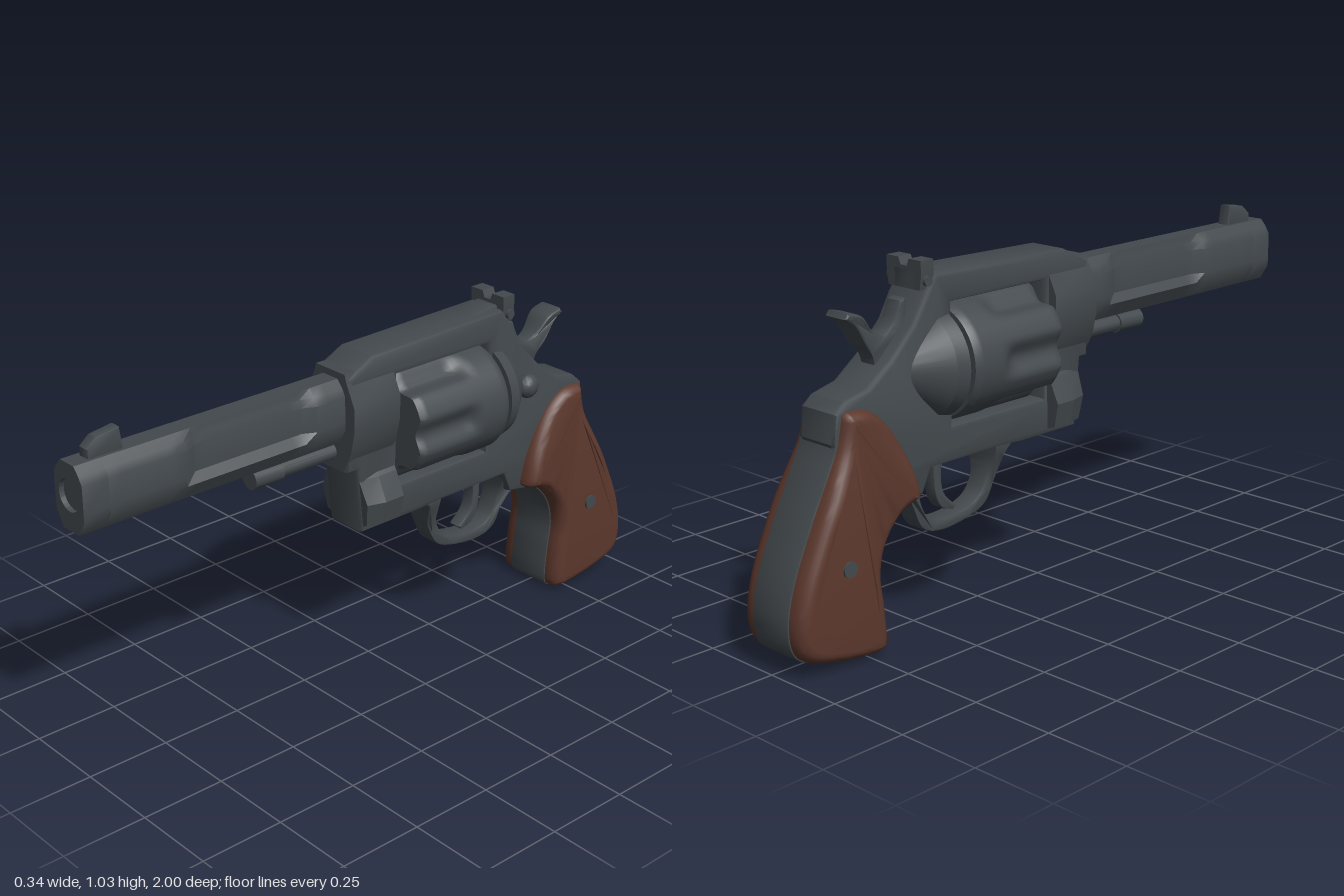
import * as THREE from 'three';
import { toCreasedNormals } from 'three/addons/utils/BufferGeometryUtils.js';

const metal = new THREE.MeshStandardMaterial({ color: 0x43494d });
metal.name = 'gunmetal';
const wood = new THREE.MeshStandardMaterial({ color: 0x5c382d });
wood.name = 'brown wood';

const V = (pts) => pts.map(([a, b]) => new THREE.Vector2(a, b));
const smooth = (pts, n = 48) => new THREE.SplineCurve(V(pts)).getPoints(n);

// Side profile in (z, y), given thickness in x, centred on x = 0
function profile(points, halfWidth, bevel = 0.01, { hole, segments = 2, offset = -bevel, thick = bevel } = {}) {
  const shape = new THREE.Shape(points);
  if (hole) shape.holes.push(new THREE.Path(hole));
  const depth = 2 * (halfWidth - thick);
  const g = new THREE.ExtrudeGeometry(shape, {
    depth, bevelEnabled: bevel > 0, bevelSize: bevel, bevelThickness: thick,
    bevelOffset: offset, bevelSegments: segments,
  });
  g.translate(0, 0, -depth / 2).rotateY(-Math.PI / 2);
  return g;
}

// Mirrored cross-section in (x, y), running along z
function section(half, z0, z1, { hole, steps = 1 } = {}) {
  const left = half.map(([x, y]) => [-x, y]).reverse();
  const shape = new THREE.Shape(V([...half, ...left]));
  if (hole) shape.holes.push(new THREE.Path().absarc(0, hole[0], hole[1], 0, Math.PI * 2, true));
  return new THREE.ExtrudeGeometry(shape, { depth: z1 - z0, steps, bevelEnabled: false, curveSegments: 24 })
    .translate(0, 0, z0);
}

// Round part along z
function round(rFront, rBack, z0, z1, y, seg = 32, rows = 1) {
  return new THREE.CylinderGeometry(rFront, rBack, z1 - z0, seg, rows)
    .rotateX(Math.PI / 2).translate(0, y, (z0 + z1) / 2);
}

function reshape(g, rule) {
  const p = g.attributes.position;
  const v = new THREE.Vector3();
  for (let i = 0; i < p.count; i++) {
    v.fromBufferAttribute(p, i);
    rule(v);
    p.setXYZ(i, v.x, v.y, v.z);
  }
  return g;
}

export function createModel() {
  const model = new THREE.Group();
  model.name = 'revolver';
  const add = (name, geo, mat = metal, crease = 0.55) => {
    const mesh = new THREE.Mesh(toCreasedNormals(geo, crease), mat);
    mesh.name = name;
    model.add(mesh);
    return mesh;
  };

  // Barrel with scooped sides, and a bored muzzle
  const barrelHalf = [[0.035, 0.74], [0.062, 0.785], [0.062, 0.81], [0.062, 0.885], [0.05, 0.907], [0.03, 0.93]];
  const barrel = section(barrelHalf, 0, 0.92, { steps: 23 });
  reshape(barrel, (v) => {
    if (v.z > 0.27 && v.z < 0.66 && v.y > 0.8 && v.y < 0.91) v.x *= 0.68;
  });
  add('barrel', barrel);
  add('muzzle', section(barrelHalf, 0.92, 1, { hole: [0.84, 0.045] }));
  add('bore', round(0.047, 0.047, 0.93, 0.985, 0.84));
  add('frontSight', profile(V([[0.95, 0.92], [0.95, 0.955], [0.92, 0.98], [0.85, 0.99], [0.84, 0.92]]), 0.02, 0.006));

  // Ejector rod under the barrel
  add('ejectorRod', round(0.025, 0.025, 0.1, 0.36, 0.705, 20));
  add('ejectorTip', round(0.03, 0.03, 0.33, 0.43, 0.705, 20));

  // Frame with the cylinder window
  const frame = V([
    [0.13, 0.66], [0.13, 0.93], [0.04, 0.975], [-0.46, 0.985], [-0.5, 0.93], [-0.54, 0.86], [-0.62, 0.78],
    [-0.7, 0.72], [-0.78, 0.7], [-0.81, 0.675], [-0.82, 0.6], [-0.75, 0.45], [-0.6, 0.385], [-0.52, 0.4],
    [-0.49, 0.465], [-0.22, 0.465], [-0.14, 0.46], [0.08, 0.46], [0.1, 0.66],
  ]);
  const windowHole = V([[-0.04, 0.555], [-0.04, 0.91], [-0.41, 0.91], [-0.41, 0.555]]);
  add('frame', profile(frame, 0.072, 0.014, { hole: windowHole, offset: -0.008 }));
  add('frameFront', section(
    [[0.05, 0.655], [0.085, 0.72], [0.1, 0.79], [0.1, 0.86], [0.066, 0.93], [0.06, 0.95]], -0.03, 0.14));

  // Faceted crane lug below the barrel seat
  const lug = section([[0.04, 0.46], [0.1, 0.48], [0.113, 0.55], [0.08, 0.62], [0.05, 0.66]], -0.035, 0.1, { steps: 2 });
  reshape(lug, (v) => {
    if (v.z > 0.05) {
      v.x *= 0.85;
      v.z -= (0.66 - v.y) * 0.1;
    }
  });
  add('craneLug', lug, metal, 0.2);

  // Fluted cylinder: six scoops open to the front
  const cy = 0.733;
  const drum = round(0.168, 0.168, -0.405, -0.06, cy, 96, 24);
  reshape(drum, (v) => {
    const r = Math.hypot(v.x, v.y - cy);
    if (r < 0.1) return;
    const a = Math.atan2(v.y - cy, v.x);
    const across = Math.max(0, Math.cos(a * 6) + 0.25) / 1.25;
    const along = THREE.MathUtils.smoothstep(v.z, -0.31, -0.24);
    let k = 1 - 0.17 * across * along;
    if (v.z > -0.065 || v.z < -0.4) k -= 0.05;
    v.x *= k;
    v.y = cy + (v.y - cy) * k;
  });
  add('cylinder', drum, metal, 0.7);
  add('cylinderAxle', round(0.05, 0.05, -0.42, -0.02, cy - 0.02, 20));

  // Recoil shield behind the cylinder
  add('recoilShield', round(0.158, 0.15, -0.46, -0.42, 0.735, 48));
  add('shieldTaper', round(0.15, 0.07, -0.56, -0.46, 0.735, 48));

  // Cylinder latch on the left of the frame
  const latch = new THREE.SphereGeometry(0.037, 20, 14);
  latch.scale(0.8, 1, 1).translate(0.085, 0.735, -0.56);
  add('latch', latch, metal, 1);

  // Rear sight: base, notched blade and adjusting screw
  add('rearSightBase', profile(V([[-0.3, 0.975], [-0.44, 1.0], [-0.51, 1.0], [-0.51, 0.95], [-0.3, 0.95]]), 0.04, 0.005));
  add('rearSightBlade', section(
    [[0.06, 0.95], [0.066, 0.985], [0.066, 1.03], [0.02, 1.03], [0.012, 1.01]], -0.51, -0.465));
  const screw = new THREE.CylinderGeometry(0.014, 0.014, 0.15, 12);
  add('rearSightScrew', screw.rotateZ(Math.PI / 2).translate(0, 0.975, -0.49));

  // Hammer, widened at the thumb spur
  const hammer = profile([
    ...smooth([[-0.52, 0.8], [-0.525, 0.87], [-0.53, 0.93]], 6),
    ...smooth([[-0.55, 0.925], [-0.575, 0.87], [-0.61, 0.845], [-0.65, 0.865], [-0.69, 0.91], [-0.74, 0.925]], 20),
    ...smooth([[-0.75, 0.91], [-0.715, 0.885], [-0.68, 0.83], [-0.65, 0.79], [-0.64, 0.74]], 16),
    new THREE.Vector2(-0.54, 0.74),
  ], 0.027, 0.006);
  reshape(hammer, (v) => { v.x *= 1 + 0.5 * THREE.MathUtils.smoothstep(-v.z, 0.63, 0.7); });
  add('hammer', hammer);

  // Trigger guard, widening where it meets the frame
  const guardOuter = smooth([
    [-0.14, 0.475], [-0.185, 0.44], [-0.205, 0.37], [-0.245, 0.295], [-0.32, 0.265], [-0.42, 0.255],
    [-0.49, 0.28], [-0.53, 0.36], [-0.58, 0.4], [-0.6, 0.475],
  ]);
  const guardInner = smooth([
    [-0.235, 0.47], [-0.235, 0.4], [-0.265, 0.325], [-0.33, 0.293], [-0.42, 0.287], [-0.475, 0.315],
    [-0.5, 0.39], [-0.49, 0.47],
  ]);
  const guard = profile([...guardOuter, ...guardInner.reverse()], 0.034, 0.006);
  reshape(guard, (v) => { v.x *= 1 + 0.9 * THREE.MathUtils.smoothstep(v.y, 0.36, 0.46); });
  add('triggerGuard', guard);

  // Trigger
  add('trigger', profile([
    ...smooth([[-0.385, 0.48], [-0.405, 0.42], [-0.395, 0.355], [-0.35, 0.31]], 14),
    ...smooth([[-0.36, 0.3], [-0.405, 0.315], [-0.43, 0.37], [-0.435, 0.48]], 14),
  ], 0.022, 0.005));

  // Grip: metal straps in the middle, rounded wooden panels either side
  const grip = smooth([
    [-0.8, 0.672], [-0.817, 0.59], [-0.86, 0.5], [-0.92, 0.38], [-0.975, 0.25], [-0.995, 0.14], [-0.97, 0.06],
    [-0.88, 0.025], [-0.76, 0.007], [-0.7, 0.012], [-0.688, 0.05], [-0.695, 0.14], [-0.705, 0.23],
    [-0.685, 0.31], [-0.63, 0.375], [-0.565, 0.4], [-0.56, 0.43], [-0.59, 0.52], [-0.65, 0.62], [-0.72, 0.675],
    [-0.79, 0.682],
  ], 90);
  add('gripStraps', profile(grip, 0.072, 0.004, { offset: 0 }));
  const panels = profile(grip, 0.124, 0.034, { segments: 6, thick: 0.045 });
  reshape(panels, (v) => { v.x *= 1 - 0.17 * THREE.MathUtils.smoothstep(v.y, 0.42, 0.62); });
  add('gripPanels', panels, wood, 0.8);

  // Grip screws
  for (const s of [-1, 1]) {
    const g = new THREE.CylinderGeometry(0.022, 0.022, 0.006, 20);
    add('gripScrew', g.rotateZ(Math.PI / 2).translate(s * 0.124, 0.278, -0.828));
  }
  return model;
}
